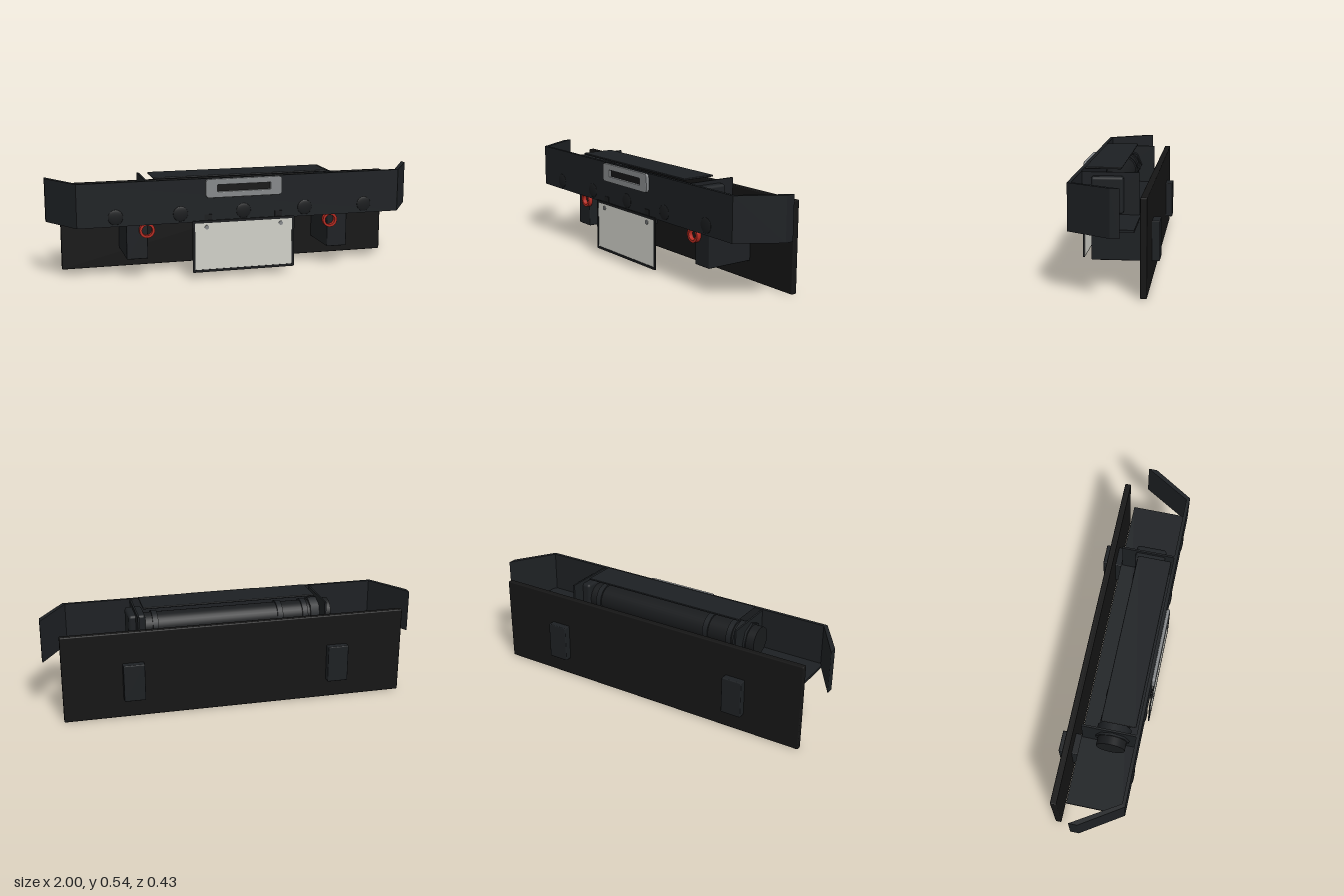
import * as THREE from 'three';
import { RoundedBoxGeometry } from 'three/addons/geometries/RoundedBoxGeometry.js';

const mat = (color) => new THREE.MeshStandardMaterial({ color });
const BODY = mat(0x1d2023), BLACK = mat(0x151515), DARK = mat(0x191b1d);
const STEEL = mat(0x85888a), RED = mat(0xb52a20), PALE = mat(0xd0d0c8);

export function createModel() {
  const root = new THREE.Group();

  function add(name, geometry, material) {
    const mesh = new THREE.Mesh(geometry, material);
    mesh.name = name;
    root.add(mesh);
    return mesh;
  }
  // box given by its limits, with optional rounded edges
  function box(name, [x0, x1], [y0, y1], [z0, z1], material, r = 0) {
    const s = [x1 - x0, y1 - y0, z1 - z0];
    const g = r ? new RoundedBoxGeometry(...s, 2, r) : new THREE.BoxGeometry(...s);
    g.translate((x0 + x1) / 2, (y0 + y1) / 2, (z0 + z1) / 2);
    return add(name, g, material);
  }
  function cylinder(name, axis, r, length, [x, y, z], material, sides = 32) {
    const g = new THREE.CylinderGeometry(r, r, length, sides);
    if (axis === 'x') g.rotateZ(Math.PI / 2);
    else g.rotateX(Math.PI / 2);
    g.translate(x, y, z);
    return add(name, g, material);
  }
  function roundRect(path, w, h, r) {
    const x = w / 2, y = h / 2;
    path.moveTo(-x + r, -y).lineTo(x - r, -y);
    path.absarc(x - r, -y + r, r, -Math.PI / 2, 0);
    path.absarc(x - r, y - r, r, 0, Math.PI / 2);
    path.absarc(-x + r, y - r, r, Math.PI / 2, Math.PI);
    path.absarc(-x + r, -y + r, r, Math.PI, Math.PI * 1.5);
    return path;
  }
  function frame(name, outer, inner, r, depth, bevel, position, material) {
    const s = roundRect(new THREE.Shape(), outer[0] - 2 * bevel, outer[1] - 2 * bevel, r);
    s.holes.push(roundRect(new THREE.Path(), inner[0] + 2 * bevel, inner[1] + 2 * bevel, r / 2));
    const g = new THREE.ExtrudeGeometry(s, {
      depth: depth - 2 * bevel, bevelEnabled: bevel > 0, bevelSize: bevel,
      bevelThickness: bevel, bevelSegments: 2, curveSegments: 6,
    });
    g.translate(position[0], position[1], position[2] + bevel);
    return add(name, g, material);
  }

  // front face with swept wings: plan outline (x, z) extruded upwards
  const half = [[0.865, 0.195], [1, -0.015], [1, -0.06], [0.853, 0.177]];
  const plan = [...half, ...half.map(([x, z]) => [-x, z]).reverse()];
  const shell = new THREE.ExtrudeGeometry(
    new THREE.Shape(plan.map(([x, z]) => new THREE.Vector2(x, -z))),
    { depth: 0.226, bevelEnabled: false });
  shell.rotateX(-Math.PI / 2).translate(0, 0.297, 0);
  add('bumperShell', shell, BODY);

  // tray, rear crossmember and winch cover
  box('trayFloor', [-0.865, 0.865], [0.295, 0.308], [-0.112, 0.18], BODY);
  box('crossmember', [-0.915, 0.915], [0, 0.467], [-0.175, -0.143], BLACK, 0.006);
  box('winchCover', [-0.467, 0.465], [0.525, 0.535], [-0.013, 0.168], BODY, 0.004);

  // frame horns, winch mounting plates, recovery rings
  for (const [side, s] of [['left', 1], ['right', -1]]) {
    const span = (a, b) => (s > 0 ? [a, b] : [-b, -a]);
    box(side + 'FrameHorn', span(0.493, 0.605), [0.101, 0.3], [-0.213, 0.12], BODY, 0.005);
    box(side + 'WinchBracket', span(0.498, 0.508), [0.308, 0.518], [-0.105, 0.178], BODY);
    const ring = new THREE.Shape().absarc(0, 0, 0.04, 0, Math.PI * 2);
    ring.holes.push(new THREE.Path().absarc(0, 0, 0.027, 0, Math.PI * 2));
    const rg = new THREE.ExtrudeGeometry(ring, { depth: 0.025, bevelEnabled: false, curveSegments: 20 });
    rg.translate(s * 0.5, 0.256, 0.12);
    add(side + 'RecoveryRing', rg, RED);

    // number plate hangers and bolts
    box(side + 'PlateTab', span(0.17, 0.21), [0.258, 0.297], [0.145, 0.17], DARK);
    box(side + 'PlateHanger', span(0.17, 0.21), [0.24, 0.335], [0.189, 0.199], DARK);
    cylinder(side + 'PlateBolt', 'z', 0.011, 0.006, [s * 0.2, 0.27, 0.208], STEEL, 16);
  }

  // winch: gearbox, drum, motor and end cap
  box('winchGearbox', [0.455, 0.545], [0.315, 0.5], [-0.03, 0.13], BODY, 0.015);
  cylinder('winchDrum', 'x', 0.072, 0.92, [0, 0.41, 0.055], DARK);
  for (const x of [-0.42, -0.28, 0.4])
    cylinder('winchCollar', 'x', 0.08, 0.03, [x, 0.41, 0.055], BODY);
  cylinder('winchEndHousing', 'x', 0.088, 0.07, [-0.485, 0.41, 0.055], BODY, 8);
  cylinder('winchEndCap', 'x', 0.075, 0.05, [-0.54, 0.41, 0.055], DARK);

  // rope fairlead
  frame('fairlead', [0.41, 0.098], [0.285, 0.036], 0.014, 0.018, 0.004, [0, 0.472, 0.195], STEEL);
  box('fairleadSlot', [-0.143, 0.143], [0.452, 0.492], [0.19, 0.199], BLACK);

  // parking sensors
  for (let i = -2; i <= 2; i++) {
    const dome = new THREE.SphereGeometry(0.039, 28, 8, 0, Math.PI * 2, 0, Math.PI / 2);
    dome.rotateX(Math.PI / 2).scale(1, 1, 0.15).translate(i * 0.335, 0.345, 0.195);
    add('parkingSensor', dome, DARK);
  }

  // number plate in its surround
  box('numberPlate', [-0.268, 0.268], [0.037, 0.298], [0.2, 0.2055], PALE);
  frame('plateSurround', [0.55, 0.274], [0.524, 0.248], 0.005, 0.007, 0, [0, 0.168, 0.201], DARK);

  return root;
}
